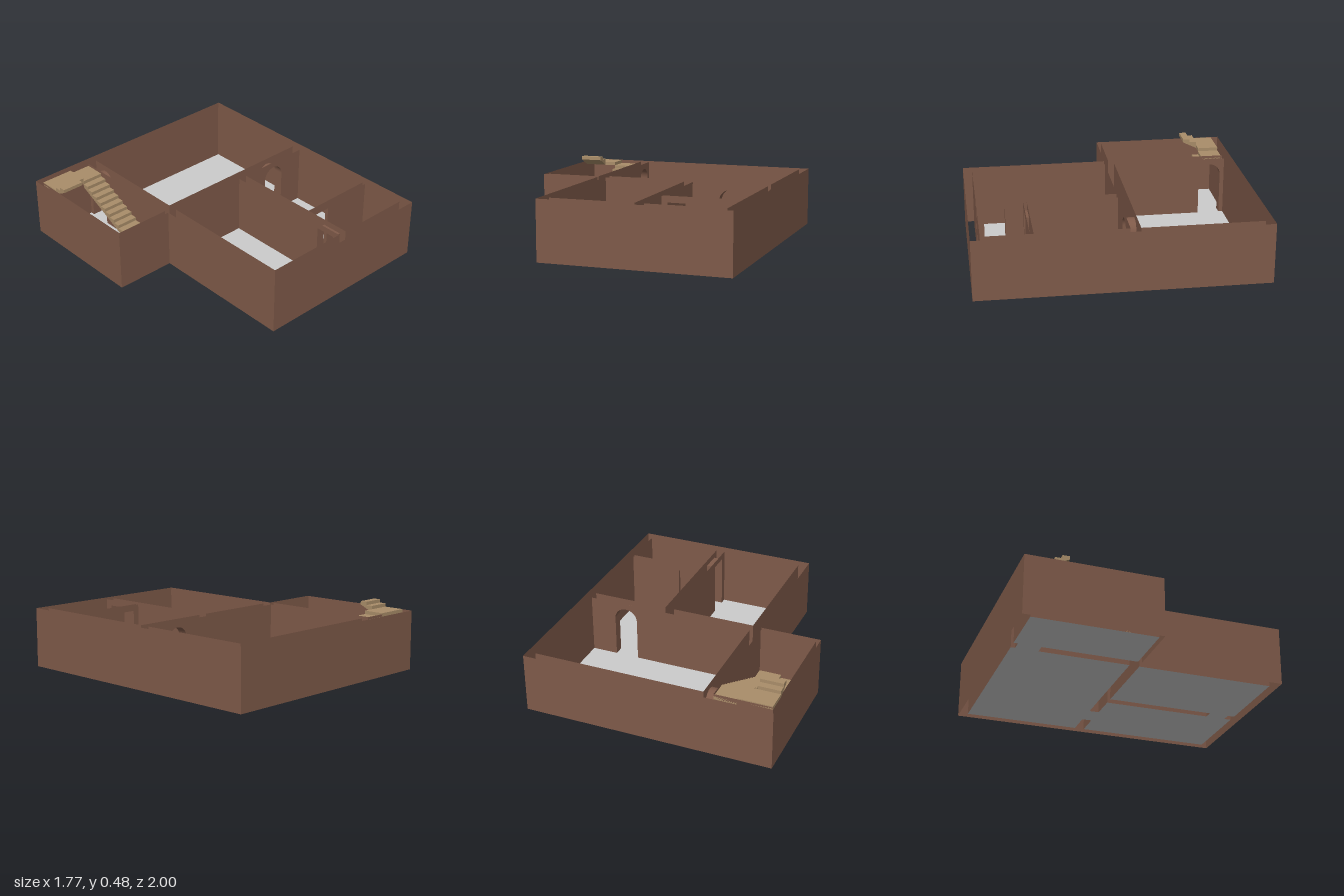
import * as THREE from 'three';

const H = 0.425, DOOR_H = 0.383;
const RISE = 0.024;

const material = (color) => new THREE.MeshStandardMaterial({ color, side: THREE.DoubleSide });

export function createModel() {
  const model = new THREE.Group();
  const brown = material(0x7f5a49), tan = material(0xa98d69), grey = material(0xcccccc);

  const add = (name, geometry, mat) => {
    const mesh = new THREE.Mesh(geometry, mat);
    mesh.name = name;
    model.add(mesh);
    return mesh;
  };

  // Turns a shape drawn in the x-y plane so that it runs along z
  const orient = (geometry, axis) => (axis === 'z' ? geometry.rotateY(-Math.PI / 2) : geometry);
  const side = (axis) => (axis === 'z' ? -1 : 1);

  // Doorways: wall direction, extent along the wall, and the two faces they join
  const archStairs = { axis: 'z', a: -0.91, b: -0.75, from: -0.46, to: -0.39, arch: true };
  const archHall = { axis: 'x', a: 0.47, b: 0.64, from: -0.11, to: -0.04, arch: true };
  const doorSide = { axis: 'z', a: 0.74, b: 0.885, from: 0.21, to: 0.275 };
  const doorCloset = { axis: 'x', a: 0.32, b: 0.445, from: 0.59, to: 0.615 };

  // Door outline from the foot of one jamb over the top to the other
  const outline = ({ a, b, arch }) => {
    const pts = [new THREE.Vector2(a, 0)];
    if (arch) {
      const r = (b - a) / 2;
      for (let i = 0; i <= 24; i++) {
        const t = Math.PI * (1 - i / 24);
        pts.push(new THREE.Vector2((a + b) / 2 + r * Math.cos(t), DOOR_H - r + r * Math.sin(t)));
      }
    } else pts.push(new THREE.Vector2(a, DOOR_H), new THREE.Vector2(b, DOOR_H));
    pts.push(new THREE.Vector2(b, 0));
    return pts;
  };

  // Thin upright wall face, notched by its doorway
  const wall = (name, axis, at, a, b, door) => {
    const pts = [new THREE.Vector2(a, 0), ...(door ? outline(door) : []),
      new THREE.Vector2(b, 0), new THREE.Vector2(b, H), new THREE.Vector2(a, H)];
    const geo = new THREE.ShapeGeometry(new THREE.Shape(pts));
    geo.translate(0, 0, side(axis) * at);
    add(name, orient(geo, axis), brown);
  };

  const floor = (name, x0, x1, z0, z1) => {
    const geo = new THREE.PlaneGeometry(x1 - x0, z1 - z0).rotateX(-Math.PI / 2);
    add(name, geo, grey).position.set((x0 + x1) / 2, 0, (z0 + z1) / 2);
  };

  // Lining through the wall thickness, with its threshold
  const doorway = (name, door) => {
    const pts = outline(door), pos = [], index = [], s = side(door.axis);
    pts.forEach((p, i) => {
      pos.push(p.x, p.y, s * door.from, p.x, p.y, s * door.to);
      if (i) index.push(2 * i - 2, 2 * i - 1, 2 * i, 2 * i - 1, 2 * i + 1, 2 * i);
    });
    let geo = new THREE.BufferGeometry();
    geo.setAttribute('position', new THREE.Float32BufferAttribute(pos, 3));
    geo.setIndex(index);
    if (!door.arch) geo = geo.toNonIndexed();
    geo.computeVertexNormals();
    add(name, orient(geo, door.axis), brown);
    if (door.axis === 'x') floor('threshold', door.a, door.b, door.from, door.to);
    else floor('threshold', door.from, door.to, door.a, door.b);
  };

  // Floor and four inner wall faces of a room
  const room = (name, x0, x1, z0, z1, doors = {}) => {
    floor(name + 'Floor', x0, x1, z0, z1);
    wall(name + 'BackWall', 'x', z0, x0, x1, doors.back);
    wall(name + 'FrontWall', 'x', z1, x0, x1, doors.front);
    wall(name + 'RightWall', 'z', x0, z0, z1, doors.right);
    wall(name + 'LeftWall', 'z', x1, z0, z1, doors.left);
  };

  // Outer shell
  const X = 0.885, STEP_X = -0.455, STEP_Z = -0.045;
  wall('outerBackWall', 'x', -1, -X, X);
  wall('outerFrontWall', 'x', 1, STEP_X, X);
  wall('outerLeftWall', 'z', X, -1, 1);
  wall('outerRightWall', 'z', -X, -1, STEP_Z);
  wall('outerStepFront', 'x', STEP_Z, -X, STEP_X);
  wall('outerStepSide', 'z', STEP_X, STEP_Z, 1);

  // Rooms
  room('stairRoom', -0.86, -0.46, -0.94, -0.075, { left: archStairs });
  room('hall', -0.39, 0.825, -0.94, -0.11, { right: archStairs, front: archHall });
  room('frontRightRoom', -0.39, 0.21, -0.04, 0.935, { left: doorSide });
  room('frontLeftRoom', 0.275, 0.825, -0.04, 0.935, { back: archHall, right: doorSide });

  // Partition in the front left room
  wall('partitionBack', 'x', doorCloset.from, 0.275, 0.825, doorCloset);
  wall('partitionFront', 'x', doorCloset.to, 0.275, 0.825, doorCloset);

  doorway('stairArch', archStairs);
  doorway('hallArch', archHall);
  doorway('sideDoorway', doorSide);
  doorway('partitionDoorway', doorCloset);

  // Flight of n steps from z0 to z1, rising from a landing at the given step level
  const flight = (name, x0, x1, z0, z1, level, n) => {
    const run = (z1 - z0) / n, base = level * RISE;
    const pts = [];
    for (let i = 0; i < n; i++) {
      const y = base + (i + 1) * RISE;
      pts.push(new THREE.Vector2(z0 + i * run, y), new THREE.Vector2(z0 + (i + 1) * run, y));
    }
    // sloped underside, cut off at the floor
    pts.push(new THREE.Vector2(z1, base + (n - 1) * RISE));
    if (level === 0) pts.push(new THREE.Vector2(z0 + run, 0));
    pts.push(new THREE.Vector2(z0, Math.max(0, base - RISE)));
    const geo = new THREE.ExtrudeGeometry(new THREE.Shape(pts), { depth: x1 - x0, bevelEnabled: false });
    add(name, geo.rotateY(-Math.PI / 2).translate(x1, 0, 0), tan);
  };

  const landing = (name, x0, x1, z0, z1, level) => {
    add(name, new THREE.BoxGeometry(x1 - x0, RISE, z1 - z0), tan)
      .position.set((x0 + x1) / 2, (level - 0.5) * RISE, (z0 + z1) / 2);
  };

  // Staircase turning twice around the stair room
  flight('lowerFlight', -0.86, -0.7, -0.305, -0.21, 0, 2);
  landing('lowerLanding', -0.86, -0.62, -0.21, -0.075, 3);
  landing('lowerTurn', -0.62, -0.46, -0.21, -0.075, 4);
  flight('mainFlight', -0.62, -0.46, -0.21, -0.79, 4, 12);
  landing('upperTurn', -0.62, -0.46, -0.94, -0.79, 17);
  landing('upperLanding', -0.86, -0.62, -0.94, -0.79, 18);
  flight('upperFlight', -0.86, -0.7, -0.79, -0.69, 18, 2);

  return model;
}
